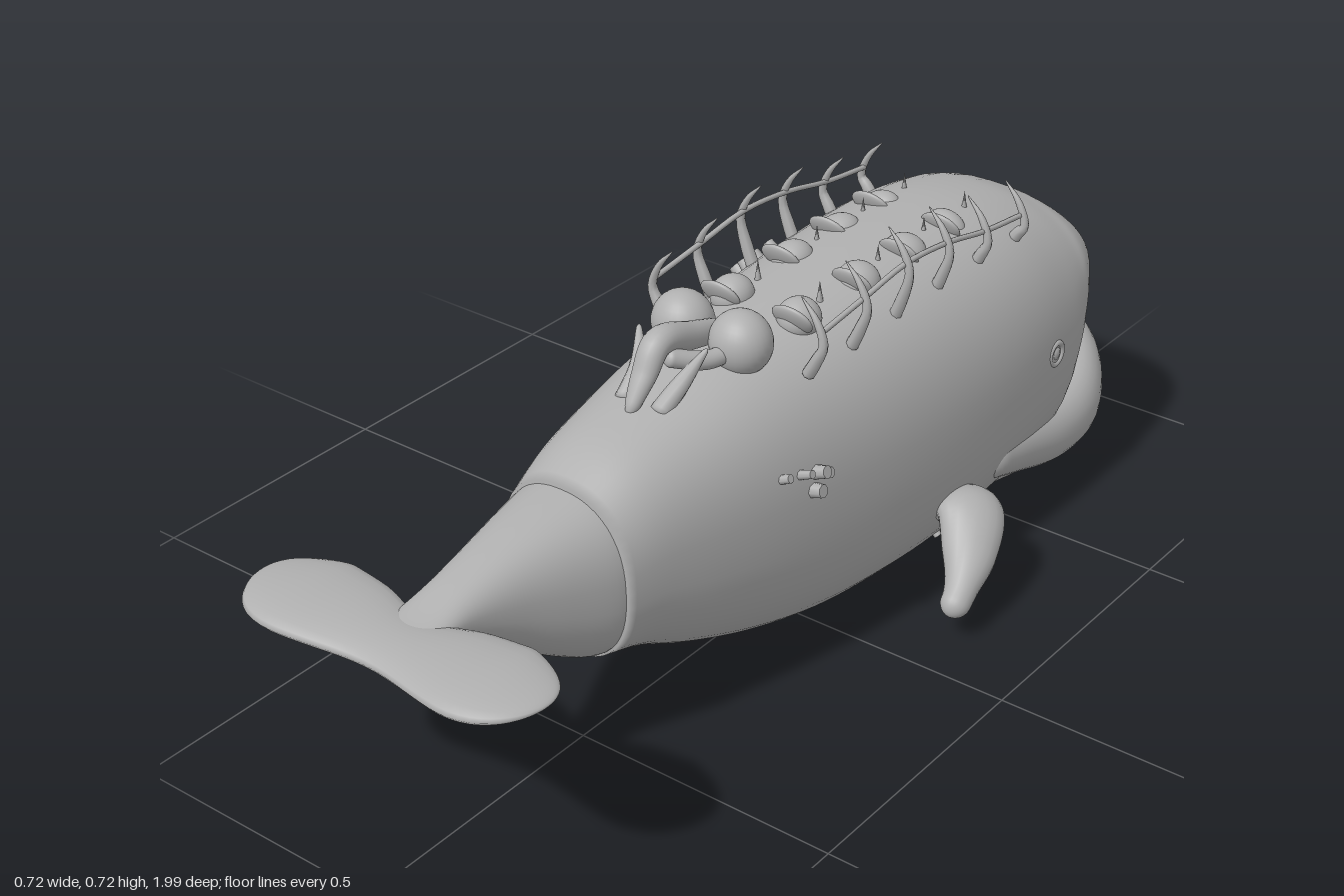
import * as THREE from 'three';

const V = (x, y, z) => new THREE.Vector3(x, y, z);
const grey = new THREE.MeshStandardMaterial({ color: 0xb0b0b0 });
grey.name = 'stone grey';

function add(parent, name, geometry) {
  const mesh = new THREE.Mesh(geometry, grey);
  mesh.name = name;
  parent.add(mesh);
  return mesh;
}

// Closed skin over rows of points
function skin(rows) {
  const n = rows[0].length, pos = [], idx = [];
  rows.forEach(r => r.forEach(p => pos.push(p.x, p.y, p.z)));
  for (let i = 0; i < rows.length - 1; i++) {
    for (let j = 0; j < n; j++) {
      const k = (j + 1) % n;
      const a = i * n + j, b = a + n, c = i * n + k, d = c + n;
      idx.push(a, b, c, b, d, c);
    }
  }
  const g = new THREE.BufferGeometry();
  g.setAttribute('position', new THREE.Float32BufferAttribute(pos, 3));
  g.setIndex(idx);
  g.computeVertexNormals();
  return g;
}

const spline = pts => new THREE.CatmullRomCurve3(pts, false, 'catmullrom', 0.5);
const power = (v, p) => Math.sign(v) * Math.pow(Math.abs(v), p);

// Loft from sections [z, top, bottom, halfWidth, arch of underside], z falling
function loft(sections, sides = 48) {
  const A = spline(sections.map(s => V(s[0], s[1], s[2])));
  const B = spline(sections.map(s => V(s[3], s[4] || 0, 0)));
  const steps = (sections.length - 1) * 5, rows = [];
  const ring = (t, scale) => {
    const { x: z, y: top, z: bot } = A.getPoint(t);
    const { x: hw, y: arch } = B.getPoint(t);
    const mid = (top + bot) / 2, h = (top - bot) / 2;
    return Array.from({ length: sides }, (_, j) => {
      const a = j / sides * Math.PI * 2, c = Math.cos(a), s = Math.sin(a);
      const lift = s < 0 ? arch * s * s : 0;
      return V(scale * hw * power(c, 0.86), mid + scale * (h * power(s, 0.86) + lift), z);
    });
  };
  rows.push(ring(0, 0));
  for (let i = 0; i <= steps; i++) rows.push(ring(i / steps, 1));
  rows.push(ring(1, 0));
  return skin(rows);
}

// Round-ended elliptical sweep through [x, y, z, side radius, up radius]
function sweep(stations, up = V(0, 1, 0), cap = 0.08, sides = 20, steps = 48) {
  const path = spline(stations.map(s => V(s[0], s[1], s[2])));
  const size = spline(stations.map(s => V(s[3], s[4] ?? s[3], 0)));
  const rows = [];
  for (let i = 0; i <= steps; i++) {
    const u = i / steps, t = (1 - Math.cos(u * Math.PI)) / 2;
    const e = Math.min(1, Math.min(t, 1 - t) / cap);
    const f = Math.sqrt(Math.max(0, 1 - (1 - e) ** 2));
    const p = path.getPoint(t), r = size.getPoint(t), T = path.getTangent(t);
    const N = T.clone().cross(up).normalize(), B = N.clone().cross(T);
    rows.push(Array.from({ length: sides }, (_, j) => {
      const a = j / sides * Math.PI * 2;
      return p.clone().addScaledVector(N, f * r.x * Math.cos(a)).addScaledVector(B, f * r.y * Math.sin(a));
    }));
  }
  return skin(rows);
}

function blob(parent, name, p, s) {
  const m = add(parent, name, new THREE.SphereGeometry(1, 28, 18));
  m.position.set(...p);
  m.scale.set(...s);
  return m;
}

export function createModel() {
  const whale = new THREE.Group();
  whale.name = 'whale';

  // Body and upper head, tail end first
  add(whale, 'body', loft([
    [0.525, 0.497, 0.187, 0.13], [0.44, 0.535, 0.163, 0.15], [0.33, 0.56, 0.11, 0.175],
    [0.2, 0.583, 0.06, 0.2], [0.05, 0.595, 0.02, 0.222], [-0.1, 0.605, 0.004, 0.24],
    [-0.25, 0.612, 0, 0.252], [-0.4, 0.613, 0.015, 0.257], [-0.52, 0.608, 0.03, 0.254],
    [-0.62, 0.593, 0.05, 0.245, 0.02], [-0.675, 0.575, 0.14, 0.232, 0.1],
    [-0.71, 0.558, 0.245, 0.217, 0.1], [-0.755, 0.525, 0.325, 0.187, 0.05],
    [-0.8, 0.48, 0.375, 0.14, 0.02], [-0.828, 0.445, 0.397, 0.088, 0.006], [-0.842, 0.42, 0.407, 0.035, 0]]));

  // Narrowing tail stock and broad two-lobed fluke
  add(whale, 'tailStock', loft([
    [0.92, 0.42, 0.405, 0.035], [0.85, 0.432, 0.39, 0.05], [0.78, 0.45, 0.355, 0.057],
    [0.7, 0.467, 0.3, 0.075], [0.62, 0.48, 0.24, 0.099], [0.54, 0.489, 0.195, 0.123], [0.5, 0.492, 0.195, 0.128]]));
  add(whale, 'fluke', sweep([
    [-0.288, 0.42, 0.875, 0.09, 0.018], [-0.2, 0.417, 0.893, 0.099, 0.021], [-0.11, 0.413, 0.893, 0.09, 0.021],
    [0, 0.41, 0.9, 0.066, 0.02],
    [0.11, 0.413, 0.893, 0.09, 0.021], [0.2, 0.417, 0.893, 0.099, 0.021], [0.288, 0.42, 0.875, 0.09, 0.018]],
  V(0, 1, 0), 0.22));

  // Lower jaw: scooped floor with a thick lip
  const floor = new THREE.SphereGeometry(1, 40, 24);
  const fp = floor.attributes.position;
  for (let i = 0; i < fp.count; i++) if (fp.getY(i) > 0) fp.setY(i, fp.getY(i) * 0.1);
  floor.scale(0.215, 0.095, 0.34);
  floor.translate(0, 0.118, -0.61);
  floor.computeVertexNormals();
  add(whale, 'jawFloor', floor);
  const lip = [[0.208, 0.195, -0.36, 0.038, 0.042], [0.205, 0.165, -0.48, 0.045, 0.05],
    [0.198, 0.13, -0.62, 0.05, 0.057], [0.17, 0.12, -0.76, 0.052, 0.064], [0.095, 0.137, -0.883, 0.052, 0.066]];
  add(whale, 'lowerLip', sweep([...lip, [0, 0.145, -0.945, 0.053, 0.066],
    ...lip.slice().reverse().map(([x, ...r]) => [-x, ...r])], V(0, 1, 0), 0.04, 24, 96));

  // Row of slender teeth inside the lip
  for (let i = 0; i < 13; i++) {
    const a = (i / 12 - 0.5) * 2.9, x = 0.145 * Math.sin(a), z = -0.715 - 0.175 * Math.cos(a);
    add(whale, 'tooth', sweep([[x, 0.15, z, 0.011], [x, 0.22, z, 0.009],
      [x * 0.97, 0.29, z + 0.012, 0.002]], V(0, 0, 1), 0.02, 8, 10));
  }

  for (const s of [1, -1]) {
    // Paddle fins
    add(whale, 'flipper', sweep([[s * 0.2, 0.15, -0.26, 0.05, 0.03], [s * 0.27, 0.172, -0.24, 0.062, 0.036],
      [s * 0.308, 0.125, -0.185, 0.05, 0.036], [s * 0.328, 0.085, -0.13, 0.03, 0.028],
      [s * 0.335, 0.055, -0.085, 0.026, 0.024]], V(0.3 * s, 1, 0), 0.13));

    // Sunken-looking eye
    const lid = add(whale, 'eyelid', new THREE.TorusGeometry(0.021, 0.006, 10, 24));
    lid.position.set(s * 0.249, 0.345, -0.545);
    lid.rotation.y = Math.PI / 2;
    blob(whale, 'eye', [s * 0.247, 0.345, -0.545], [0.008, 0.014, 0.014]);

    // Curved rib posts joined by a rail
    const tops = [0.685, 0.7, 0.715, 0.705, 0.68, 0.665], rail = [];
    tops.forEach((top, i) => {
      const z = 0.08 - i * 0.122, d = top - 0.715;
      add(whale, 'rib', sweep([[s * 0.147, 0.545, z, 0.012], [s * 0.165, 0.59 + d * 0.4, z, 0.011],
        [s * 0.178, 0.64 + d, z, 0.008], [s * 0.163, 0.68 + d, z, 0.006], [s * 0.133, top, z, 0.001]],
      V(0, 0, 1), 0.01, 8, 20));
      rail.push([s * 0.17, top - 0.058, z, 0.005]);
    });
    add(whale, 'rail', sweep(rail, V(0, 1, 0), 0.005, 8, 30));

    // Paired knobs and small thorns along the back
    [-0.44, -0.31, -0.17, 0].forEach((z, i) => {
      const k = blob(whale, 'backKnob', [s * 0.07, 0.592, z], [0.038, 0.027 + 0.003 * i, i ? 0.04 : 0.028]);
      k.rotation.z = -s * 0.3;
      const plate = blob(whale, 'backPlate', [s * 0.075, 0.602, z + 0.026], [0.04, 0.032, 0.01]);
      plate.rotation.x = 0.5;
      const thorn = add(whale, 'thorn', new THREE.ConeGeometry(0.008, 0.05, 8));
      thorn.position.set(s * 0.065, 0.608, z - 0.065);
    });

    // Bulbs and side horns of the crest
    blob(whale, 'crestBulb', [s * 0.06, 0.606, 0.145], [0.055, 0.056, 0.052]);
    add(whale, 'crestHorn', sweep([[s * 0.035, 0.545, 0.33, 0.018], [s * 0.045, 0.585, 0.28, 0.015],
      [s * 0.07, 0.64, 0.245, 0.004]], V(0, 0, 1), 0.05, 10, 16));
    add(whale, 'crestBridge', sweep([[s * 0.06, 0.6, 0.16, 0.015], [s * 0.045, 0.6, 0.22, 0.016],
      [s * 0.01, 0.62, 0.28, 0.016]]));
  }

  // Central crest ridge
  add(whale, 'crestRidge', sweep([[0, 0.6, 0.12, 0.015, 0.02], [0, 0.622, 0.2, 0.022, 0.024],
    [0, 0.645, 0.28, 0.025, 0.024], [0, 0.6, 0.32, 0.022, 0.018], [0, 0.545, 0.36, 0.01, 0.01]]));

  // Barnacle clusters [x, y, z, radius]
  [[0.186, 0.42, 0.205, 0.01], [0.2, 0.415, 0.165, 0.01], [0.204, 0.405, 0.13, 0.015],
    [0.203, 0.375, 0.14, 0.016], [0.204, 0.4, 0.12, 0.013],
    [0.188, 0.105, -0.29, 0.012], [0.165, 0.073, -0.31, 0.014], [0.163, 0.07, -0.35, 0.014], [0.172, 0.085, -0.27, 0.01],
    [-0.19, 0.525, -0.28, 0.014], [-0.18, 0.53, -0.22, 0.018], [-0.2, 0.505, -0.22, 0.018], [-0.185, 0.52, -0.18, 0.018],
    [-0.21, 0.49, -0.18, 0.016], [-0.165, 0.54, -0.17, 0.013], [-0.195, 0.51, -0.25, 0.012],
    [-0.24, 0.39, -0.09, 0.018], [-0.24, 0.335, -0.06, 0.018], [-0.242, 0.31, -0.09, 0.015], [-0.237, 0.385, -0.05, 0.013],
  ].forEach(([x, y, z, r]) => {
    const b = add(whale, 'barnacle', new THREE.CylinderGeometry(r * 0.75, r, 0.045, 8));
    b.position.set(x, y, z);
    b.quaternion.setFromUnitVectors(V(0, 1, 0), V(x, (y - 0.31) * 0.75, 0).normalize());
  });

  return whale;
}
